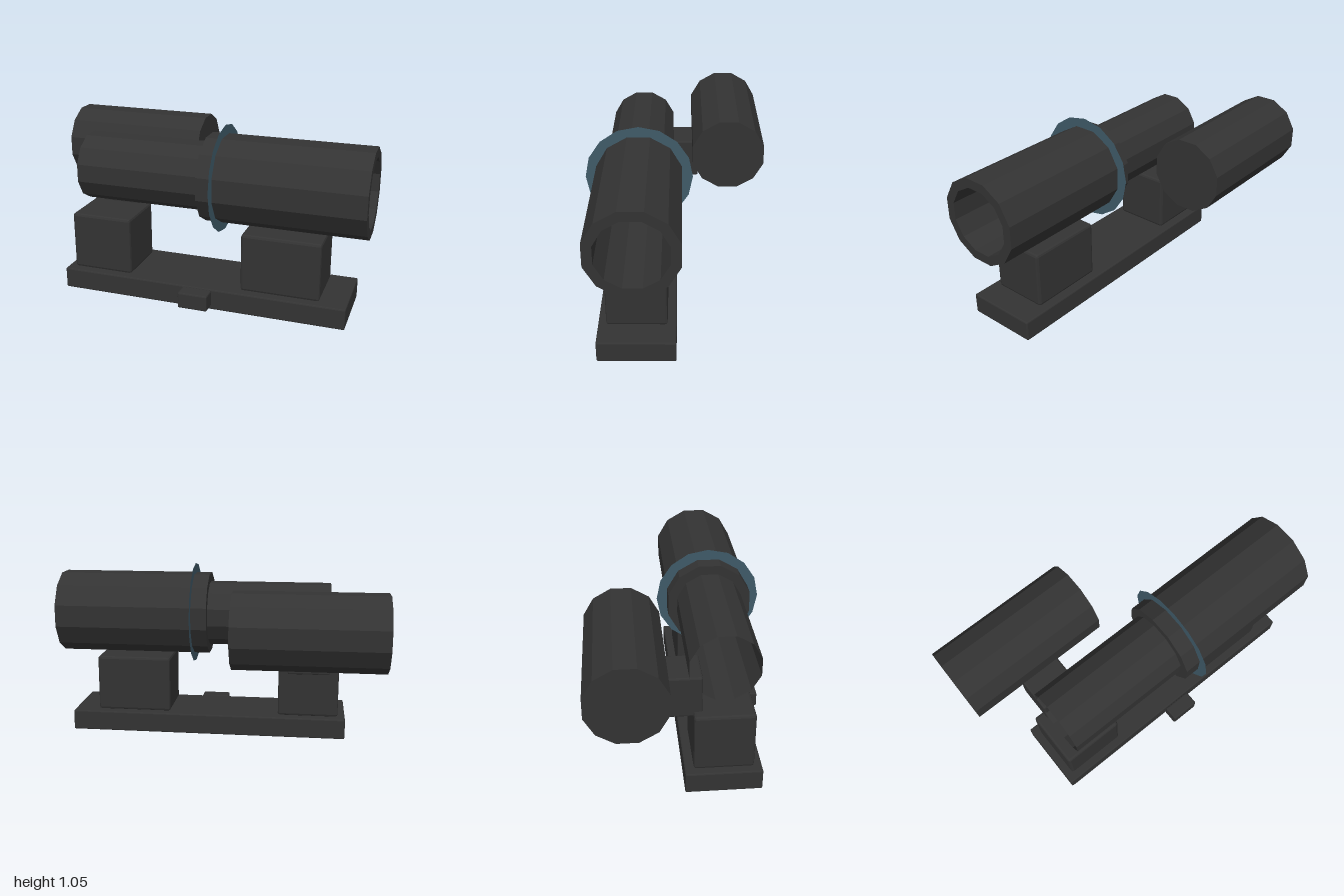
import * as THREE from 'three';
import { RoundedBoxGeometry } from 'three/addons/geometries/RoundedBoxGeometry.js';

const AXIS_Y = 0.737; // height shared by both tubes

export function createModel() {
  const model = new THREE.Group();
  model.name = 'opticalSight';

  const black = new THREE.MeshStandardMaterial({ color: 0x333333, flatShading: true, side: THREE.DoubleSide });
  black.name = 'matte black';
  const blue = new THREE.MeshStandardMaterial({ color: 0x3f5a68, flatShading: true, side: THREE.DoubleSide });
  blue.name = 'lens blue';

  const add = (name, geometry, material = black) => {
    const mesh = new THREE.Mesh(geometry, material);
    mesh.name = name;
    model.add(mesh);
    return mesh;
  };

  // Chamfered block given by its extents on each axis
  const block = (name, [x0, x1], [y0, y1], [z0, z1], bevel) =>
    add(name, new RoundedBoxGeometry(x1 - x0, y1 - y0, z1 - z0, 1, bevel))
      .position.set((x0 + x1) / 2, (y0 + y1) / 2, (z0 + z1) / 2);

  // Lays a 12-sided upright geometry along x with a flat facet on top
  const alongX = (geometry) => geometry.rotateY(Math.PI / 12).rotateZ(-Math.PI / 2);

  // Mounting plate, side knob and the two pedestals
  block('basePlate', [-0.795, 0.915], [0, 0.125], [0, 0.435], 0.008);
  block('sideKnob', [-0.03, 0.145], [0.03, 0.125], [0.44, 0.53], 0.008);
  block('rearPedestal', [-0.75, -0.38], [0.125, 0.47], [0.05, 0.39], 0.015);
  block('frontPedestal', [0.3, 0.76], [0.125, 0.47], [0.05, 0.39], 0.015);

  // Arm joining the main tube to the side tube
  block('connector', [-0.688, -0.442], [0.44, 0.685], [-0.135, 0.1], 0.01);

  // Main tube: a thin open bore that steps up to a thicker front housing
  const profile = [[0.2, -0.688], [0.2, 1], [0.256, 1], [0.256, 0.06], [0.2, 0.06]]
    .map(([r, x]) => new THREE.Vector2(r, x));
  add('mainTube', alongX(new THREE.LatheGeometry(profile, 12))).position.set(0, AXIS_Y, 0.22);

  // Thin lens disc standing proud of the housing
  add('lensDisc', new THREE.CircleGeometry(0.312, 16).rotateY(Math.PI / 2), blue)
    .position.set(0.155, AXIS_Y, 0.22);

  // Solid tube on the back side
  add('sideTube', alongX(new THREE.CylinderGeometry(0.225, 0.225, 0.87, 12)))
    .position.set(-0.565, AXIS_Y, -0.313);

  return model;
}
